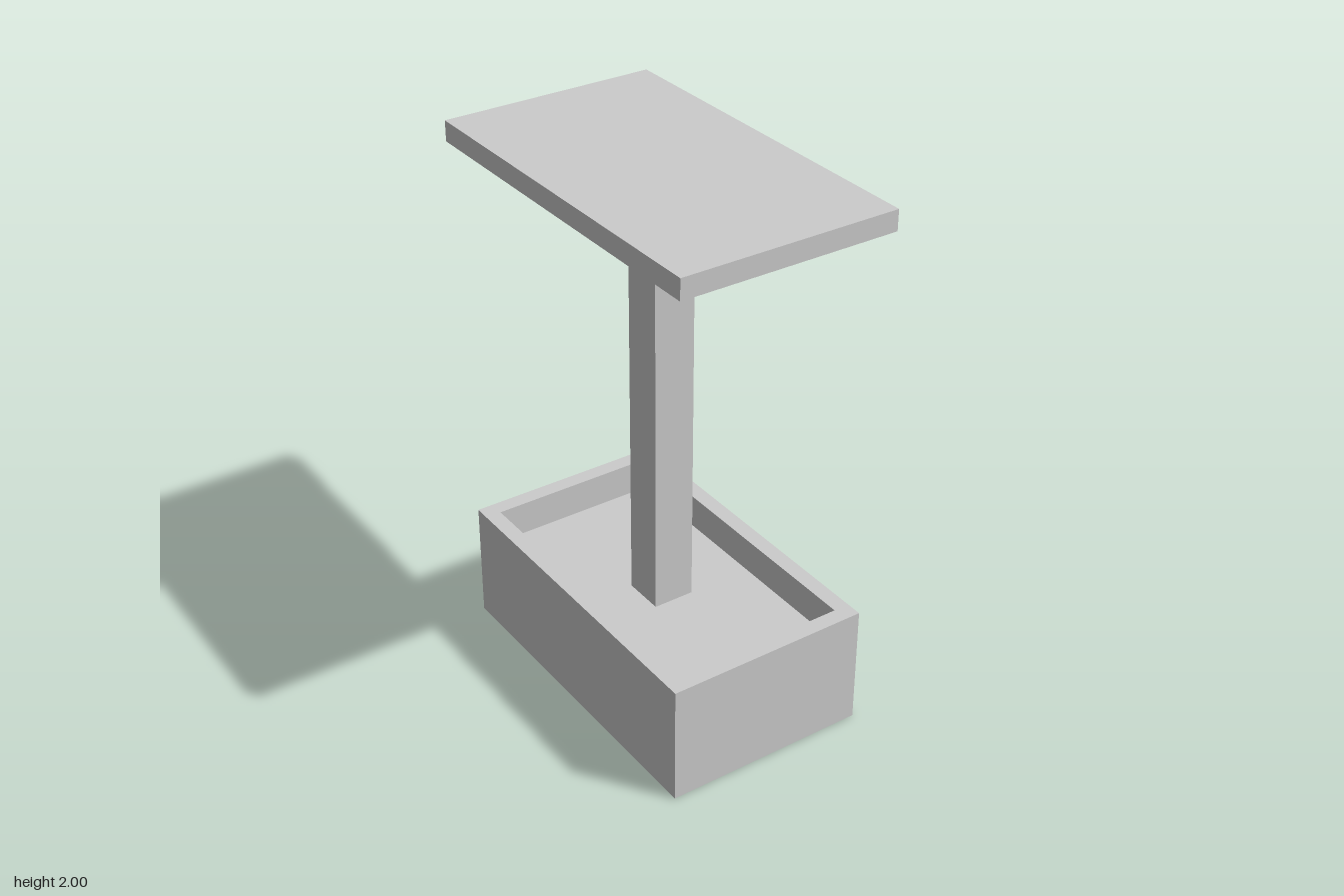
import * as THREE from 'three';

const material = new THREE.MeshStandardMaterial({ color: 0xcccccc });

function addMesh(group, name, geometry, y) {
  const mesh = new THREE.Mesh(geometry, material);
  mesh.name = name;
  mesh.position.y = y;
  group.add(mesh);
  return mesh;
}

// Box standing on height y0 and reaching y1
function addBlock(group, name, width, depth, y0, y1) {
  return addMesh(group, name, new THREE.BoxGeometry(width, y1 - y0, depth), (y0 + y1) / 2);
}

function rectangle(target, w, d) {
  target.moveTo(-w / 2, -d / 2);
  target.lineTo(w / 2, -d / 2);
  target.lineTo(w / 2, d / 2);
  target.lineTo(-w / 2, d / 2);
  target.closePath();
  return target;
}

export function createModel() {
  const model = new THREE.Group();
  model.name = 'pedestalTable';

  const baseWidth = 0.77, baseDepth = 1.29, baseTop = 0.455;
  const wall = 0.06, floorY = 0.325, postSize = 0.156, slabBottom = 1.925;

  // Solid lower part of the trough-like base
  addBlock(model, 'base', baseWidth, baseDepth, 0, floorY);

  // Raised rim around the recessed floor
  const rim = rectangle(new THREE.Shape(), baseWidth, baseDepth);
  rim.holes.push(rectangle(new THREE.Path(), baseWidth - 2 * wall, baseDepth - 2 * wall));
  const rimGeometry = new THREE.ExtrudeGeometry(rim, { depth: baseTop - floorY, bevelEnabled: false });
  rimGeometry.rotateX(-Math.PI / 2);
  addMesh(model, 'baseRim', rimGeometry, floorY);

  // Square post and flat top
  addBlock(model, 'post', postSize, postSize, floorY, slabBottom);
  addBlock(model, 'topSlab', 0.805, 1.37, slabBottom, 2);

  return model;
}
